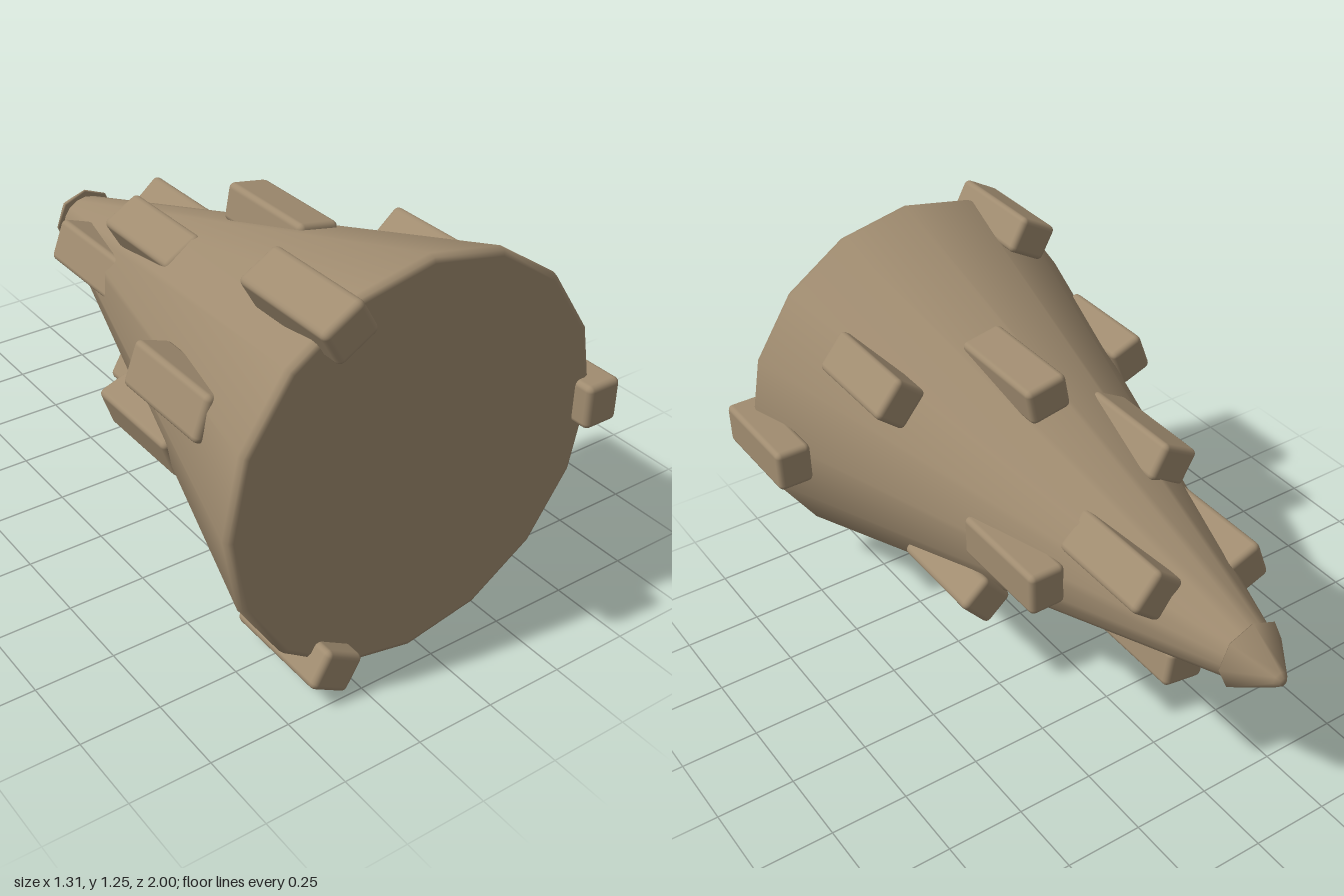
import * as THREE from 'three';
import { RoundedBoxGeometry } from 'three/addons/geometries/RoundedBoxGeometry.js';

const CX = -0.03, CY = 0.63; // drill axis, running along z

export function createModel() {
  const group = new THREE.Group();
  const stone = new THREE.MeshStandardMaterial({ color: 0xa08c70 });
  stone.name = 'tan stone';

  // Turned solid around the z axis; profile is [radius, z] from front to back
  const turned = (name, profile, sides) => {
    const geo = new THREE.LatheGeometry(profile.map(([r, z]) => new THREE.Vector2(r, -z)), sides);
    geo.rotateX(-Math.PI / 2);
    const mesh = new THREE.Mesh(geo, stone);
    mesh.name = name;
    mesh.position.set(CX, CY, 0);
    group.add(mesh);
  };

  // Main cone with a small bevel around its flat front
  turned('drillCone', [[0, 0.94], [0.607, 0.94], [0.622, 0.934], [0.627, 0.915], [0.085, -0.87]], 16);

  // Pointed cap with an overhanging rim and a blunted end
  turned('drillTip', [[0, -0.857], [0.108, -0.857], [0.113, -0.862], [0.026, -0.985], [0.014, -0.998], [0, -1]], 8);

  // Five rings of three teeth, each ring twisted 40 degrees from the one before
  const toothGeo = new RoundedBoxGeometry(0.12, 0.14, 0.365, 2, 0.018);
  for (let ring = 0; ring < 5; ring++) {
    const radius = 0.615 - 0.1055 * ring;
    const z = 0.8175 - 0.3195 * ring;
    for (let i = 0; i < 3; i++) {
      const angle = THREE.MathUtils.degToRad(40 * ring + 120 * i);
      const tooth = new THREE.Mesh(toothGeo, stone);
      tooth.name = 'tooth';
      tooth.position.set(CX + 0.004 + radius * Math.cos(angle), CY + radius * Math.sin(angle), z);
      tooth.rotation.z = angle;
      group.add(tooth);
    }
  }
  return group;
}
